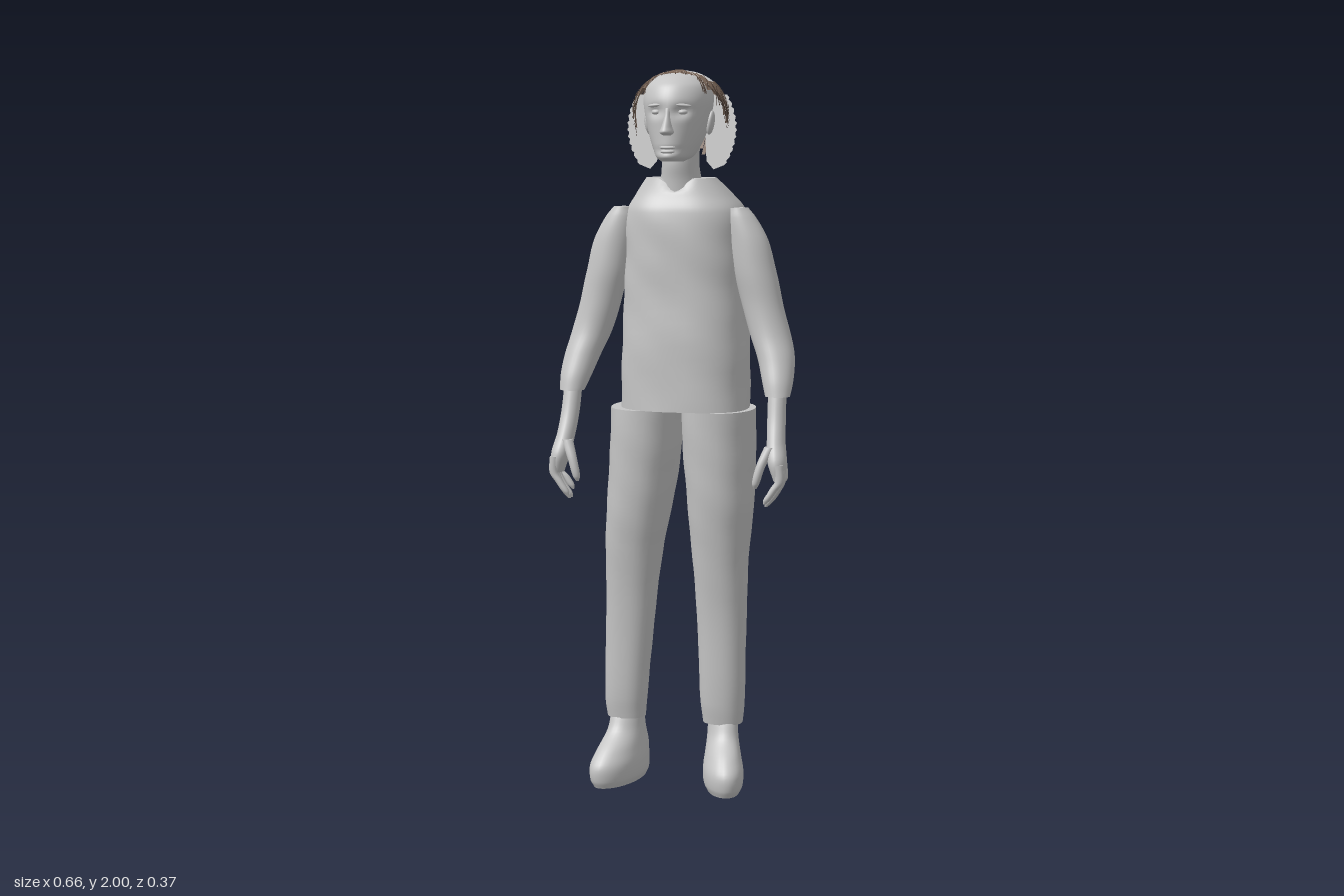
import * as THREE from 'three';
import { mergeGeometries } from 'three/addons/utils/BufferGeometryUtils.js';

const mat = (name, color, side = THREE.FrontSide) => {
  const m = new THREE.MeshStandardMaterial({ color, side });
  m.name = name;
  return m;
};
const grey = mat('plainGrey', 0xc4c4c4);
const pale = mat('paleHairBase', 0xdadada, THREE.DoubleSide);
const brown = mat('brownHair', 0x7a6658, THREE.DoubleSide);
const dark = mat('darkHair', 0x4a3c34, THREE.DoubleSide);

let seed = 7;
const rnd = () => ((seed = (seed * 16807) % 2147483647) / 2147483647);
const smooth = THREE.MathUtils.smoothstep;

function add(parent, name, geometry, material = grey) {
  const mesh = new THREE.Mesh(geometry, material);
  mesh.name = name;
  parent.add(mesh);
  return mesh;
}

// Closed solid through horizontal rounded rings, bottom to top: [y, x, z, rx, rz]
function loft(sections, { sides = 32, steps = 5, power = 2, warp } = {}) {
  const centre = new THREE.CatmullRomCurve3(sections.map(([y, x, z]) => new THREE.Vector3(x, y, z)));
  const size = new THREE.CatmullRomCurve3(sections.map((s) => new THREE.Vector3(s[3], s[0], s[4])));
  const n = (sections.length - 1) * steps;
  const rings = [[0, 0], [0, 1]];
  for (let i = 0; i <= n; i++) rings.push([i / n, 1]);
  rings.push([1, 1], [1, 0]);
  const pos = [], idx = [], v = new THREE.Vector3();
  rings.forEach(([t, k], i) => {
    const c = centre.getPoint(t), r = size.getPoint(t);
    for (let j = 0; j < sides; j++) {
      const a = (j / sides) * Math.PI * 2, cx = Math.cos(a), sz = Math.sin(a);
      v.set(
        c.x + k * r.x * Math.sign(cx) * Math.abs(cx) ** (2 / power), c.y,
        c.z + k * r.z * Math.sign(sz) * Math.abs(sz) ** (2 / power));
      if (warp) warp(v, c);
      pos.push(v.x, v.y, v.z);
      // no faces between the cap rims and the wall, so the rims stay sharp
      if (i === rings.length - 1 || i === 1 || i === rings.length - 3) continue;
      const p = i * sides + j, q = i * sides + ((j + 1) % sides);
      idx.push(p, p + sides, q, q, p + sides, q + sides);
    }
  });
  const g = new THREE.BufferGeometry();
  g.setAttribute('position', new THREE.Float32BufferAttribute(pos, 3));
  g.setIndex(idx);
  g.computeVertexNormals();
  return g;
}

// Soft cloth ripples
const cloth = (v, c) => {
  const w = 1 + 0.012 * Math.sin(v.y * 38 + v.x * 14) * Math.sin(v.z * 25 + v.y * 11 + v.x * 20);
  v.x = c.x + (v.x - c.x) * w;
  v.z = c.z + (v.z - c.z) * w;
};

// Point on the hair surface: azimuth a from the front, polar angle th from the crown
function hairPoint(a, th, k = 1) {
  const s = th < Math.PI / 2 ? Math.sin(th) ** 0.9 : 1 - 0.25 * (th - Math.PI / 2) ** 2;
  const y = th < Math.PI / 2 ? 0.118 * Math.cos(th) : -0.118 * (th - Math.PI / 2);
  return new THREE.Vector3(0.132 * k * s * Math.sin(a), 1.88 + y * k, 0.012 + 0.112 * k * s * Math.cos(a));
}
function hairEnd(a) {
  const y = 1.945 - 0.18 * smooth(Math.abs(a), 0.7, 2.3) - 1.88;
  return y > 0 ? Math.acos(y / 0.118) : Math.PI / 2 - y / 0.118;
}
// One curved ribbon lying on the hair surface
function ribbon(a, th0, th1, width, skew, k) {
  const g = new THREE.PlaneGeometry(1, 1, 1, 7), p = g.attributes.position;
  for (let i = 0; i < p.count; i++) {
    const t = 0.5 - p.getY(i);
    const q = hairPoint(a + p.getX(i) * width + skew * (t - 0.5), th0 + (th1 - th0) * t, k);
    p.setXYZ(i, q.x, q.y, q.z);
  }
  g.computeVertexNormals();
  return g;
}

function buildHead() {
  const head = new THREE.Group();
  head.name = 'head';
  // Eye sockets, cheeks and a tapered face are pushed into the skull
  const face = (v) => {
    if (v.z < 0.04) return;
    const eye = Math.exp(-(((Math.abs(v.x) - 0.036) / 0.02) ** 2) - ((v.y - 1.885) / 0.015) ** 2);
    const mouth = Math.exp(-((v.x / 0.04) ** 2) - ((v.y - 1.782) / 0.008) ** 2);
    v.z -= 0.014 * eye + 0.006 * mouth;
  };
  add(head, 'skull', loft([
    [1.752, 0, 0.095, 0.03, 0.045], [1.765, 0, 0.07, 0.048, 0.086], [1.8, 0, 0.05, 0.066, 0.103],
    [1.84, 0, 0.038, 0.08, 0.114], [1.88, 0, 0.034, 0.089, 0.118], [1.92, 0, 0.03, 0.094, 0.117],
    [1.955, 0, 0.025, 0.086, 0.104], [1.98, 0, 0.018, 0.062, 0.076], [1.992, 0, 0.015, 0.025, 0.03],
  ], { sides: 56, steps: 6, warp: face }));
  add(head, 'neck', loft([
    [1.64, 0, -0.005, 0.07, 0.07], [1.7, 0, 0.005, 0.056, 0.064],
    [1.75, 0, 0.012, 0.05, 0.064], [1.83, 0, 0.0, 0.055, 0.065],
  ]));
  add(head, 'nose', loft([
    [1.822, 0, 0.15, 0.01, 0.012], [1.83, 0, 0.152, 0.019, 0.034], [1.845, 0, 0.15, 0.014, 0.03],
    [1.87, 0, 0.145, 0.009, 0.017], [1.895, 0, 0.142, 0.008, 0.01],
  ], { sides: 16 }));
  const blob = (name, x, y, z, rx, ry, rz) => {
    const m = add(head, name, new THREE.SphereGeometry(1, 20, 14));
    m.position.set(x, y, z);
    m.scale.set(rx, ry, rz);
    return m;
  };
  blob('upperLip', 0, 1.79, 0.149, 0.023, 0.005, 0.011);
  blob('lowerLip', 0, 1.779, 0.148, 0.02, 0.006, 0.011);
  for (const s of [-1, 1]) {
    blob('eye', s * 0.036, 1.884, 0.124, 0.014, 0.008, 0.014);
    blob('brow', s * 0.038, 1.902, 0.133, 0.024, 0.005, 0.009).rotation.set(0, s * 0.35, -s * 0.1);
    blob('ear', s * 0.088, 1.855, 0.025, 0.01, 0.033, 0.02).rotation.z = -s * 0.15;
  }
  return head;
}

function buildHair() {
  const hair = new THREE.Group();
  hair.name = 'hair';
  // Pale crown under the strands
  const crown = [], locks = [], strands = [];
  for (let i = 0; i < 24; i++) crown.push(ribbon((i / 24) * Math.PI * 2, 0.01, 0.85, 0.27, 0, 0.98));
  add(hair, 'crown', mergeGeometries(crown), pale);
  // Broad locks: from the front parting line, and round the sides and back
  const start = (a) => (Math.cos(a) > 0.05 ? Math.asin(Math.min(0.68, 0.025 / (0.112 * Math.cos(a)))) : 0.75);
  for (let i = 0; i < 48; i++) {
    const a = ((i + 0.5) / 48) * Math.PI * 2 - Math.PI;
    locks.push(ribbon(a, start(a), hairEnd(a) - 0.2 * rnd(), 0.125, 0.06 * (rnd() - 0.5), 0.99 + 0.015 * rnd()));
  }
  locks.push(ribbon(0, 0.01, 0.3, 1.2, 0, 1));
  add(hair, 'locks', mergeGeometries(locks), brown);
  // Thin crossing strands
  for (let i = 0; i < 190; i++) {
    const a = (rnd() * 2 - 1) * Math.PI, end = hairEnd(a);
    const from = start(a) + rnd() * 0.6 * (end - start(a));
    const to = Math.min(end + 0.08, from + 0.3 + 0.5 * rnd());
    strands.push(ribbon(a, from, to, 0.025, (rnd() - 0.5) * 0.7, 1.0 + 0.03 * rnd()));
  }
  add(hair, 'strands', mergeGeometries(strands), dark);
  // Flat wavy side sheets
  for (const s of [-1, 1]) {
    const shape = new THREE.Shape();
    shape.moveTo(s * 0.06, 1.93);
    for (let i = 0; i <= 30; i++) {
      const t = i / 30;
      shape.lineTo(s * (0.108 + 0.045 * Math.sin(Math.PI * (0.1 + t * 0.85)) ** 0.7 + 0.003 * Math.sin(i * 2.2)), 1.93 - 0.19 * t);
    }
    shape.lineTo(s * 0.09, 1.728);
    shape.lineTo(s * 0.07, 1.75);
    add(hair, 'sideHairSheet', new THREE.ShapeGeometry(shape), pale);
  }
  return hair;
}

function buildArm(s) {
  const arm = new THREE.Group();
  arm.name = s > 0 ? 'leftArm' : 'rightArm';
  const part = (name, list, opt) => add(arm, name, loft(list.map(([y, x, ...r]) => [y, s * x, ...r]), opt));
  part('sleeve', [
    [1.12, 0.292, 0.085, 0.034, 0.032], [1.16, 0.287, 0.062, 0.043, 0.046], [1.22, 0.275, 0.032, 0.051, 0.055],
    [1.28, 0.255, 0.013, 0.056, 0.056], [1.36, 0.232, 0.008, 0.057, 0.053], [1.45, 0.21, 0.009, 0.059, 0.052],
    [1.54, 0.19, 0.01, 0.055, 0.047], [1.6, 0.171, 0.011, 0.04, 0.038], [1.625, 0.165, 0.012, 0.025, 0.03],
  ], { warp: cloth });
  part('palm', [
    [0.9, 0.312, 0.15, 0.014, 0.03], [0.95, 0.306, 0.148, 0.026, 0.036], [1.0, 0.298, 0.125, 0.025, 0.034],
    [1.06, 0.293, 0.1, 0.025, 0.03], [1.14, 0.29, 0.078, 0.025, 0.026],
  ], { sides: 24 });
  for (let k = 0; k < 4; k++) {
    const z = 0.125 + 0.017 * k, d = k === 0 ? 0.02 : k === 3 ? 0.01 : 0;
    part('finger', [
      [0.828 + d, 0.278, z, 0.004, 0.004], [0.84 + d, 0.285, z, 0.01, 0.009], [0.865 + d, 0.302, z, 0.011, 0.01],
      [0.9, 0.318, z, 0.012, 0.01], [0.945, 0.316, z, 0.013, 0.011],
    ], { sides: 12 });
  }
  part('thumb', [
    [0.878, 0.251, 0.172, 0.004, 0.004], [0.892, 0.253, 0.174, 0.01, 0.01],
    [0.94, 0.266, 0.17, 0.013, 0.013], [0.99, 0.287, 0.15, 0.016, 0.018],
  ], { sides: 14 });
  return arm;
}

function buildLeg(s) {
  const leg = new THREE.Group();
  leg.name = s > 0 ? 'leftLeg' : 'rightLeg';
  // The stance is uneven, so each trouser leg has its own [x, rx] line
  const line = s > 0
    ? [[0.12, 0.056], [0.119, 0.062], [0.116, 0.07], [0.112, 0.08], [0.112, 0.091], [0.107, 0.098], [0.103, 0.101]]
    : [[-0.162, 0.054], [-0.163, 0.06], [-0.148, 0.07], [-0.136, 0.081], [-0.122, 0.091], [-0.108, 0.096], [-0.1, 0.1]];
  const side = [[0.18, 0, 0.047], [0.24, 0, 0.055], [0.5, 0, 0.066], [0.68, 0, 0.088],
    [0.8, -0.005, 0.108], [0.93, -0.01, 0.122], [1.07, -0.015, 0.13]];
  add(leg, 'trouserLeg', loft(side.map(([y, z, rz], i) => [y, line[i][0], z, line[i][1], rz]),
    { power: 2.2, warp: cloth }));
  // Shoe, toe turned outward and wider than the heel
  const x = s > 0 ? 0.12 : -0.158;
  add(leg, 'shoe', loft([
    [0, x, 0.035, 0.046, 0.11], [0.02, x, 0.035, 0.055, 0.119], [0.06, x, 0.035, 0.057, 0.118],
    [0.1, x, 0.02, 0.052, 0.1], [0.145, x, 0.004, 0.047, 0.062], [0.19, x, 0, 0.045, 0.043],
  ], {
    warp: (v) => {
      v.x = x + (v.x - x) * (1 + 1.6 * (v.z - 0.03)) + s * 0.27 * v.z;
    },
  }));
  return leg;
}

export function createModel() {
  const model = new THREE.Group();
  model.name = 'standingFigure';
  // Sleeveless top with a dipped front neckline
  add(model, 'torso', loft([
    [1.07, 0.008, -0.015, 0.178, 0.135], [1.25, 0.006, -0.025, 0.176, 0.139], [1.4, 0.005, -0.033, 0.17, 0.138],
    [1.5, 0.004, -0.038, 0.168, 0.141], [1.58, 0.003, -0.042, 0.168, 0.144], [1.62, 0.002, -0.043, 0.16, 0.139],
    [1.66, 0, -0.03, 0.132, 0.106], [1.705, -0.003, -0.008, 0.097, 0.068],
  ], {
    sides: 56, power: 2.5,
    warp: (v, c) => {
      cloth(v, c);
      v.y -= 0.03 * smooth(v.y, 1.66, 1.705) * Math.max(0, 1 - Math.abs(v.x) / 0.05) * smooth(v.z, 0, 0.05);
    },
  }));
  for (const s of [-1, 1]) model.add(buildArm(s), buildLeg(s));
  model.add(buildHead(), buildHair());
  return model;
}
